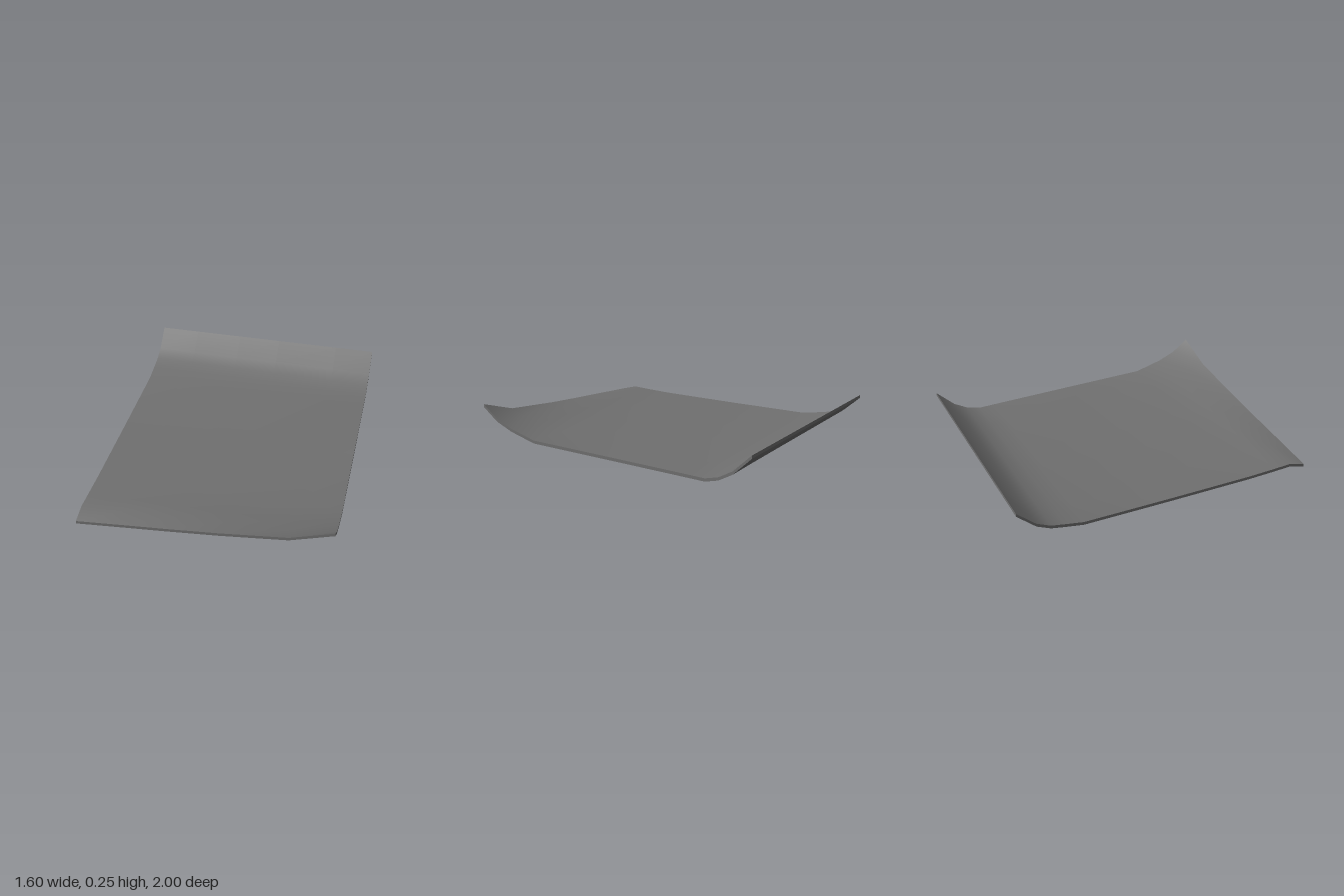
import * as THREE from 'three';
import { toCreasedNormals } from 'three/addons/utils/BufferGeometryUtils.js';

const THICKNESS = 0.02;

// Cross-sections from front to back: z, top height on the right edge (-x), on the left edge (+x)
const SECTIONS = [
  [1, 0.02, 0.245],
  [0.89, 0.05, 0.162],
  [0.77, 0.045, 0.112],
  [0.58, 0.04, 0.062],
  [0, 0.041, 0.055],
  [-0.58, 0.046, 0.047],
  [-0.7, 0.068, 0.045],
  [-0.79, 0.086, 0.069],
  [-0.88, 0.128, 0.12],
  [-1, 0.235, 0.235],
];

// Columns across the sheet: x, and how far the height has moved from right to left edge
const COLUMNS = [[-0.8, 0], [-0.53, 0.11], [-0.2, 0.24], [0.1, 0.37], [0.53, 0.6], [0.8, 1]];

function curledSheet() {
  const nx = COLUMNS.length, nz = SECTIONS.length, layer = nx * nz;
  const positions = [], index = [];

  // Top layer, then the same points lowered by the thickness
  for (const drop of [0, THICKNESS]) {
    for (const [z, right, left] of SECTIONS) {
      for (const [x, blend] of COLUMNS) {
        positions.push(x, THREE.MathUtils.lerp(right, left, blend) - drop, z);
      }
    }
  }

  const quad = (a, b, c, d) => index.push(a, b, c, a, c, d);
  const at = (i, j) => j * nx + i;

  // Upper and lower faces
  for (let j = 0; j < nz - 1; j++) {
    for (let i = 0; i < nx - 1; i++) {
      const a = at(i, j), b = at(i + 1, j), c = at(i + 1, j + 1), d = at(i, j + 1);
      quad(a, b, c, d);
      quad(d + layer, c + layer, b + layer, a + layer);
    }
  }

  // Narrow rim around the outline
  const rim = [];
  for (let i = 0; i < nx - 1; i++) rim.push(at(i, 0));
  for (let j = 0; j < nz - 1; j++) rim.push(at(nx - 1, j));
  for (let i = nx - 1; i > 0; i--) rim.push(at(i, nz - 1));
  for (let j = nz - 1; j > 0; j--) rim.push(at(0, j));
  rim.forEach((p, k) => {
    const q = rim[(k + 1) % rim.length];
    quad(p + layer, q + layer, q, p);
  });

  const geometry = new THREE.BufferGeometry();
  geometry.setAttribute('position', new THREE.Float32BufferAttribute(positions, 3));
  geometry.setIndex(index);
  return toCreasedNormals(geometry, 0.7);
}

export function createModel() {
  const group = new THREE.Group();
  group.name = 'curledSheet';
  const sheet = new THREE.Mesh(curledSheet(), new THREE.MeshStandardMaterial({ color: 0x707070 }));
  sheet.name = 'sheet';
  group.add(sheet);
  return group;
}
